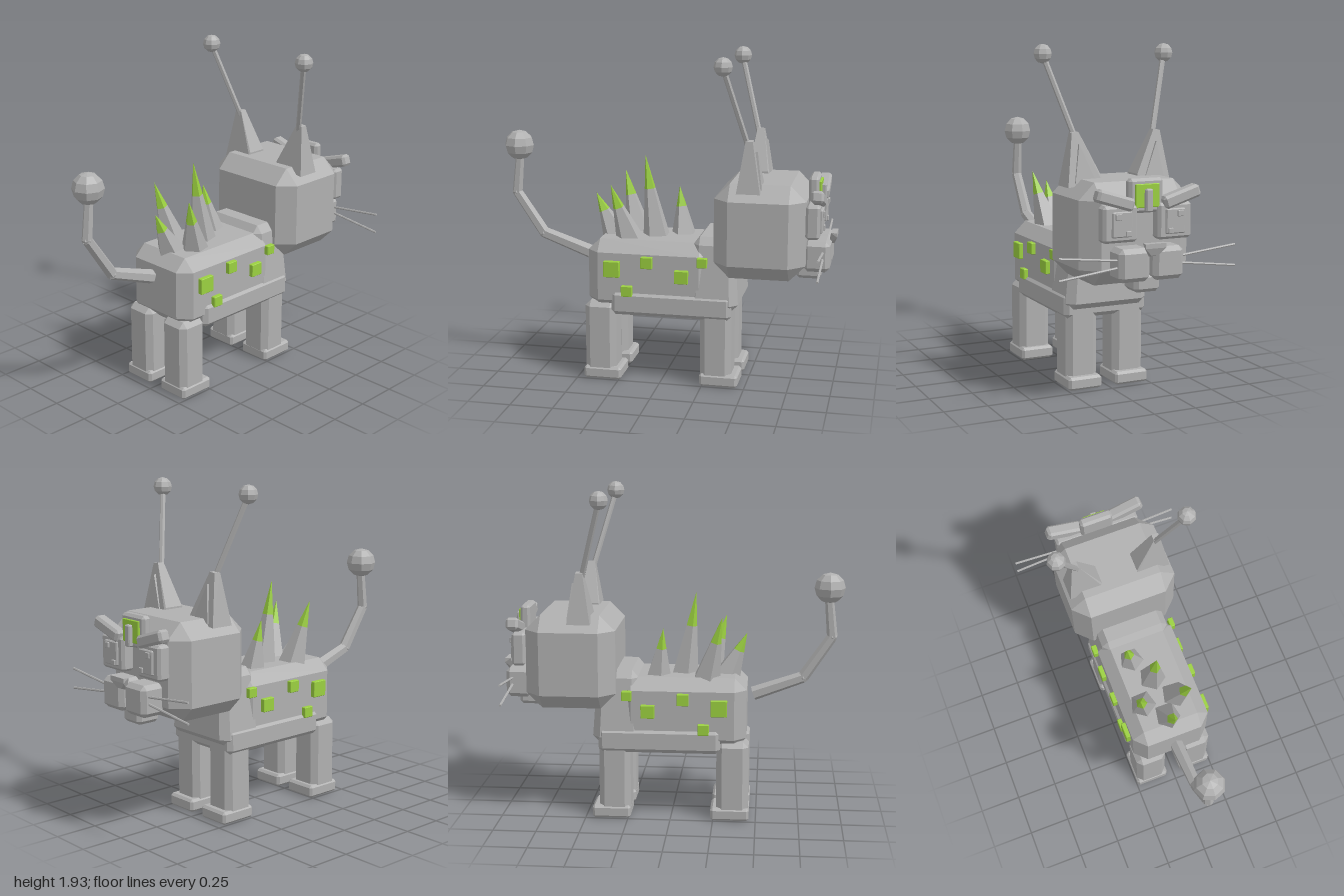
import * as THREE from 'three';
import { ConvexGeometry } from 'three/addons/geometries/ConvexGeometry.js';

const grey = new THREE.MeshStandardMaterial({ color: 0xb0b0b0, flatShading: true });
grey.name = 'grey';
const green = new THREE.MeshStandardMaterial({ color: 0x9bd040, flatShading: true });
green.name = 'green';

const V = (x, y, z) => new THREE.Vector3(x, y, z);

export function createModel() {
  const model = new THREE.Group();
  model.name = 'cat';

  const add = (name, geometry, material = grey) => {
    const mesh = new THREE.Mesh(geometry, material);
    mesh.name = name;
    model.add(mesh);
    return mesh;
  };

  // Box between two corners with bevelled edges; the top may be narrowed
  const block = (name, x, y, z, bevel, material = grey, taper = 1) => {
    const size = V(x[1] - x[0], y[1] - y[0], z[1] - z[0]);
    const h = size.clone().multiplyScalar(0.5);
    const points = [];
    for (const i of [-1, 1]) for (const j of [-1, 1]) for (const k of [-1, 1]) {
      for (const [a, b, c] of [[0, 1, 1], [1, 0, 1], [1, 1, 0]]) {
        const s = j > 0 ? taper : 1;
        points.push(V(i * (h.x - a * bevel) * s, j * (h.y - b * bevel), k * (h.z - c * bevel) * s));
      }
    }
    const mesh = add(name, new ConvexGeometry(points), material);
    mesh.position.set((x[0] + x[1]) / 2, (y[0] + y[1]) / 2, (z[0] + z[1]) / 2);
    return mesh;
  };

  // Tapered rod between two points
  const rod = (name, a, b, r0, r1, sides, material = grey) => {
    const dir = b.clone().sub(a);
    const mesh = add(name, new THREE.CylinderGeometry(r1, r0, dir.length(), sides), material);
    mesh.position.copy(a).add(b).multiplyScalar(0.5);
    mesh.quaternion.setFromUnitVectors(V(0, 1, 0), dir.normalize());
    return mesh;
  };

  const ball = (name, p, r) => add(name, new THREE.SphereGeometry(r, 8, 6), grey).position.copy(p);

  // Span on one side of the body, from inner to outer distance
  const side = (s, a, b) => (s > 0 ? [a, b] : [-b, -a]);

  // Torso
  block('body', [-0.24, 0.24], [0.42, 0.845], [-0.3, 0.44], 0.07);
  block('belly', [-0.255, 0.255], [0.405, 0.55], [-0.42, 0.29], 0.025);
  block('chest', [-0.25, 0.25], [0.45, 0.885], [-0.455, -0.165], 0.045, grey, 0.84);

  // Head
  block('head', [-0.325, 0.325], [0.665, 1.215], [-0.837, -0.315], 0.09);
  block('jaw', [-0.075, 0.075], [0.64, 0.74], [-0.915, -0.77], 0.02);
  block('forehead', [-0.1, 0.1], [1.06, 1.243], [-0.893, -0.835], 0.015);
  block('foreheadPanel', [-0.07, 0.07], [1.09, 1.215], [-0.905, -0.89], 0.003, green);
  block('foreheadBar', [-0.02, 0.02], [1.07, 1.19], [-0.93, -0.9], 0.006);

  // Nose: wedge pointing down
  add('nose', new ConvexGeometry([
    V(-0.06, 0.915, -1), V(0.06, 0.915, -1), V(-0.06, 0.89, -1), V(0.06, 0.89, -1),
    V(-0.02, 0.85, -0.985), V(0.02, 0.85, -0.985),
    V(-0.06, 0.915, -0.965), V(0.06, 0.915, -0.965), V(-0.02, 0.84, -0.95), V(0.02, 0.84, -0.95),
  ]));

  // Side spots: z range, y range
  const spots = [
    [0.235, 0.33, 0.635, 0.73], [0.04, 0.108, 0.697, 0.765], [0.16, 0.225, 0.523, 0.586],
    [-0.17, -0.09, 0.618, 0.695], [-0.28, -0.222, 0.72, 0.776],
  ];

  for (const s of [-1, 1]) {
    // Legs and feet
    for (const [z0, z1, front] of [[0.268, 0.455, 0.235], [-0.42, -0.235, -0.46]]) {
      block('leg', side(s, 0.05, 0.24), [0.03, 0.475], [z0, z1], 0.033);
      block('foot', side(s, 0.043, 0.247), [0, 0.075], [front, front + 0.225], 0.014);
    }

    // Eyes
    block('eye', side(s, 0.06, 0.26), [0.915, 1.11], [-0.915, -0.835], 0.015);
    block('pupil', side(s, 0.1, 0.215), [0.945, 1.08], [-0.928, -0.9], 0.006);
    block('eyeGlint', side(s, 0.165, 0.2), [1.037, 1.07], [-0.937, -0.92], 0.003);
    block('eyeGlint', side(s, 0.11, 0.14), [0.948, 0.978], [-0.937, -0.92], 0.003);
    const brow = block('brow', side(s, 0.085, 0.305), [1.105, 1.175], [-0.937, -0.865], 0.014);
    brow.rotation.z = s * 0.3;

    // Muzzle and whiskers
    block('cheek', side(s, 0.01, 0.19), [0.71, 0.887], [-0.97, -0.82], 0.025);
    rod('whisker', V(s * 0.17, 0.825, -0.93), V(s * 0.52, 0.862, -0.93), 0.007, 0.007, 6);
    rod('whisker', V(s * 0.17, 0.79, -0.93), V(s * 0.52, 0.747, -0.93), 0.007, 0.007, 6);

    // Ears with inner plates
    add('ear', new ConvexGeometry([
      V(s * 0.11, 1.2, -0.45), V(s * 0.11, 1.2, -0.585), V(s * 0.31, 1.17, -0.45), V(s * 0.31, 1.17, -0.585),
      V(s * 0.11, 1.225, -0.46), V(s * 0.11, 1.225, -0.575),
      V(s * 0.228, 1.465, -0.495), V(s * 0.228, 1.465, -0.535),
      V(s * 0.268, 1.46, -0.495), V(s * 0.268, 1.46, -0.535),
    ]));
    add('innerEar', new ConvexGeometry([
      V(s * 0.15, 1.2, -0.59), V(s * 0.27, 1.19, -0.59), V(s * 0.235, 1.4, -0.56),
      V(s * 0.15, 1.2, -0.57), V(s * 0.27, 1.19, -0.57), V(s * 0.235, 1.4, -0.535),
    ]));

    // Antennae
    rod('antenna', V(s * 0.235, 1.43, -0.505), V(s * 0.365, 1.86, -0.385), 0.016, 0.016, 6);
    ball('antennaBall', V(s * 0.37, 1.88, -0.382), 0.053);

    for (const [z0, z1, y0, y1] of spots) {
      block('spot', side(s, 0.235, 0.267), [y0, y1], [z0, z1], 0.003, green);
    }
  }

  // Back spikes: base x, z, radius, then tip
  const spikes = [
    [-0.075, -0.085, 0.08, V(-0.11, 1.12, -0.05)],
    [0, 0.065, 0.085, V(0, 1.32, 0.135)],
    [-0.11, 0.2, 0.085, V(-0.16, 1.2, 0.295)],
    [0.085, 0.21, 0.085, V(0.145, 1.16, 0.31)],
    [0, 0.315, 0.085, V(0, 1.08, 0.435)],
  ];
  for (const [x, z, r, tip] of spikes) {
    const base = V(x, 0.82, z);
    const mid = base.clone().lerp(tip, 0.6);
    rod('spike', base, mid, r, r * 0.4, 5);
    rod('spikeTip', mid, tip, r * 0.4, 0, 5, green);
  }

  // Tail
  const path = [V(0, 0.715, 0.475), V(0, 0.82, 0.765), V(0, 1.065, 0.93), V(0, 1.3, 0.907)];
  const radii = [0.042, 0.035, 0.031, 0.026];
  for (let i = 0; i < 3; i++) {
    rod('tail', path[i], path[i + 1], radii[i], radii[i + 1], 6);
  }
  for (const i of [1, 2]) {
    const joint = add('tailJoint', new THREE.SphereGeometry(radii[i], 6, 4));
    joint.position.copy(path[i]);
  }
  ball('tailBall', V(0, 1.353, 0.91), 0.09);

  return model;
}
